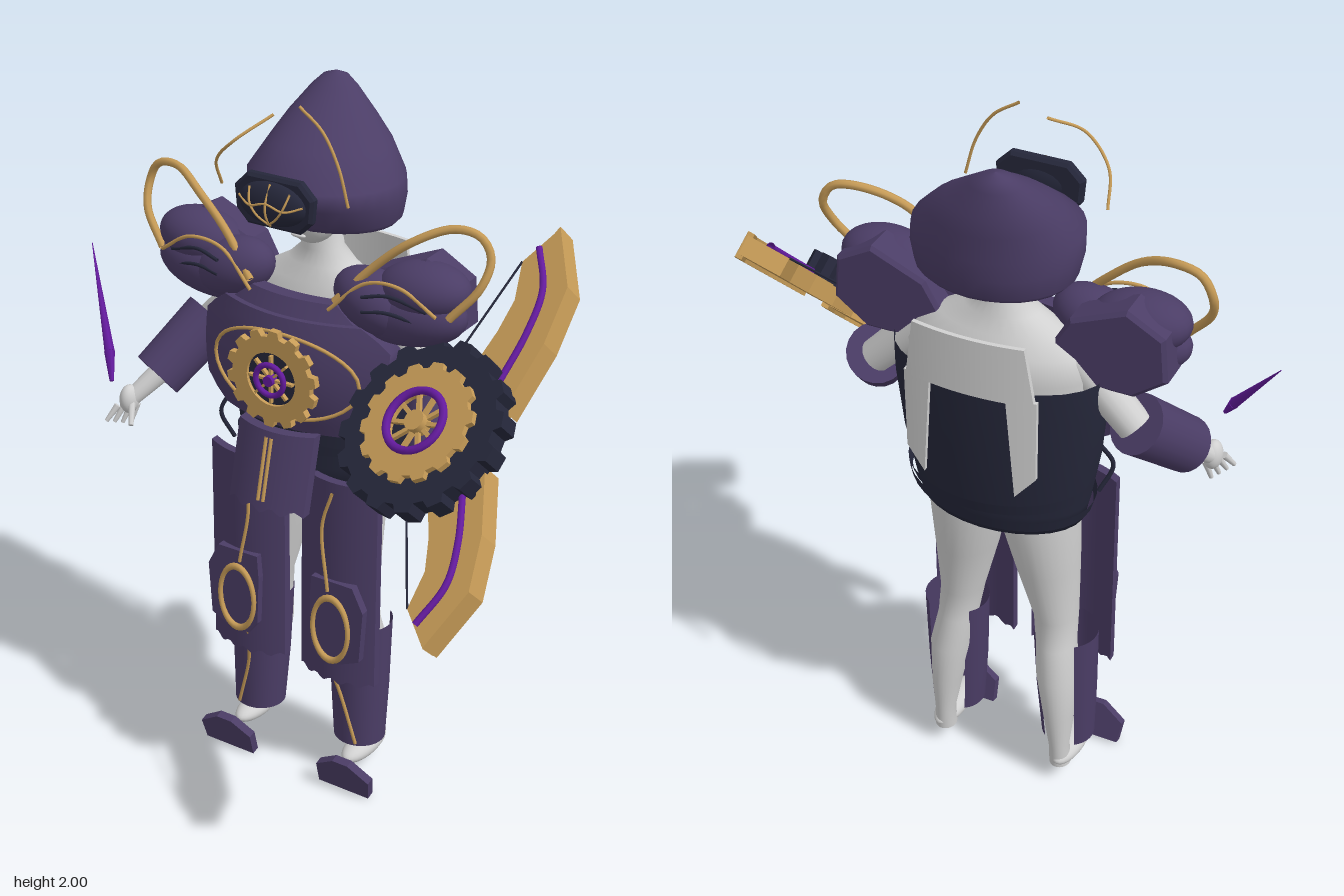
import * as THREE from 'three';

const mat = (name, color) => {
  const m = new THREE.MeshStandardMaterial({ color, side: THREE.DoubleSide });
  m.name = name;
  return m;
};
const V = (p) => new THREE.Vector3(...p);

export function createModel() {
  const purple = mat('plum armour', 0x4b3d66);
  const navy = mat('dark navy', 0x25273a);
  const gold = mat('gold', 0xc69b57);
  const violet = mat('bright violet', 0x641b9e);
  const skin = mat('pale grey', 0xd0d0d0);

  const model = new THREE.Group();
  const body = new THREE.Group();
  body.name = 'figure';
  body.position.x = -0.045;
  model.add(body);

  const add = (name, geo, m, parent = body) => {
    const mesh = new THREE.Mesh(geo, m);
    mesh.name = name;
    parent.add(mesh);
    return mesh;
  };

  // surface through elliptical rings [x, y, z, rx, rz], lowest ring first
  const loft = (rings, a0 = 0, a1 = Math.PI * 2, n = 28) => {
    const closed = a1 - a0 > 6.28, cols = closed ? n : n + 1, pos = [], idx = [];
    for (const [x, y, z, rx, rz] of rings)
      for (let i = 0; i < cols; i++) {
        const a = a0 + ((a1 - a0) * i) / n;
        pos.push(x + rx * Math.sin(a), y, z + rz * Math.cos(a));
      }
    for (let j = 0; j < rings.length - 1; j++)
      for (let i = 0; i < n; i++) {
        const k = (i + 1) % cols, a = j * cols + i, b = j * cols + k;
        idx.push(a, b, b + cols, a, b + cols, a + cols);
      }
    const g = new THREE.BufferGeometry();
    g.setAttribute('position', new THREE.Float32BufferAttribute(pos, 3));
    g.setIndex(idx);
    g.computeVertexNormals();
    return g;
  };
  // straight tapered limb between two points
  const limb = (a, b, r1, r2, seg = 16) => {
    const p = V(a), q = V(b), d = q.clone().sub(p);
    const g = new THREE.CylinderGeometry(r2, r1, d.length(), seg);
    g.applyQuaternion(new THREE.Quaternion().setFromUnitVectors(new THREE.Vector3(0, 1, 0), d.clone().normalize()));
    return g.translate(...p.add(q).multiplyScalar(0.5).toArray());
  };
  const tube = (pts, r, closed = false) =>
    new THREE.TubeGeometry(new THREE.CatmullRomCurve3(pts.map(V), closed), 40, r, 8, closed);
  const plate = (pts, depth, bevel = 0) =>
    new THREE.ExtrudeGeometry(new THREE.Shape(pts.map((p) => new THREE.Vector2(...p))), {
      depth, bevelEnabled: bevel > 0, bevelSize: bevel, bevelThickness: bevel, bevelSegments: 1 });
  const ball = (rx, ry, rz, x, y, z, tilt = 0) =>
    new THREE.SphereGeometry(1, 28, 18).scale(rx, ry, rz).rotateZ(tilt).translate(x, y, z);
  // thin panel whose vertices are moved by rule(u, v) => [x, y, z], u and v from -1 to 1
  const panel = (depth, rule, nx = 20, ny = 10) => {
    const g = new THREE.BoxGeometry(2, 2, depth, nx, ny, 1), p = g.attributes.position;
    for (let i = 0; i < p.count; i++) {
      const [x, y, z] = rule(p.getX(i), p.getY(i));
      p.setXYZ(i, x, y, z + p.getZ(i));
    }
    g.computeVertexNormals();
    return g;
  };
  const gear = (r, tooth, teeth, hole, depth) => {
    const pts = [];
    for (let i = 0; i < teeth; i++)
      for (const [f, q] of [[0.04, r - tooth], [0.16, r], [0.58, r], [0.7, r - tooth]]) {
        const a = ((i + f) / teeth) * Math.PI * 2;
        pts.push(new THREE.Vector2(q * Math.cos(a), q * Math.sin(a)));
      }
    const s = new THREE.Shape(pts);
    s.holes.push(new THREE.Path().absarc(0, 0, hole, 0, Math.PI * 2, true));
    return new THREE.ExtrudeGeometry(s, { depth, bevelEnabled: false, curveSegments: 24 }).translate(0, 0, -depth / 2);
  };
  const spokes = (n, r0, r1, w, m, parent, z) => {
    for (let i = 0; i < n; i++)
      add('spoke', new THREE.BoxGeometry(r1 - r0, w, 0.012).translate((r0 + r1) / 2, 0, z)
        .rotateZ((i / n) * Math.PI * 2), m, parent);
  };

  // hood with a backswept peak
  add('hood', loft([[0, 1.66, -0.23, 0.001, 0.001], [0, 1.66, -0.23, 0.19, 0.15], [0, 1.675, -0.228, 0.204, 0.165],
    [0, 1.73, -0.22, 0.214, 0.188], [0, 1.78, -0.215, 0.211, 0.195], [-0.018, 1.85, -0.265, 0.163, 0.15],
    [-0.037, 1.9, -0.3, 0.12, 0.112], [-0.055, 1.96, -0.34, 0.064, 0.057], [-0.06, 1.985, -0.352, 0.035, 0.032],
    [-0.06, 1.996, -0.355, 0.001, 0.001]]), purple);
  [[[-0.2, 1.76, -0.03], [-0.18, 1.84, 0.02], [-0.11, 1.91, 0.045], [-0.04, 1.97, -0.03]],
    [[0.03, 2.0, -0.04], [0.1, 1.95, -0.035], [0.15, 1.87, -0.03], [0.18, 1.77, -0.03]]]
    .forEach((p) => add('hoodWire', tube(p, 0.004), gold));

  // head, neck and upper torso
  add('face', ball(0.08, 0.12, 0.1, 0, 1.72, -0.16), skin);
  add('lips', ball(0.022, 0.006, 0.008, 0, 1.642, -0.082), skin);
  add('neckAndShoulders', loft([[0, 1.2, -0.2, 0.23, 0.12], [0, 1.4, -0.21, 0.25, 0.125], [0, 1.46, -0.205, 0.23, 0.105],
    [0, 1.5, -0.2, 0.17, 0.085], [0, 1.54, -0.2, 0.1, 0.068], [0, 1.58, -0.2, 0.058, 0.056], [0, 1.68, -0.19, 0.046, 0.05]]), skin);

  // visor, a shallow dome on an eight-sided plate
  const visor = [[-0.105, 1.735], [-0.075, 1.705], [0.075, 1.705], [0.105, 1.735], [0.11, 1.79], [0.075, 1.825], [-0.075, 1.825], [-0.11, 1.79]];
  add('visor', plate(visor, 0.015, 0.008).translate(0, 0, 0.014), navy);
  add('visorDome', ball(0.1, 0.058, 0.035, 0, 1.765, 0.033), navy);
  const domeZ = (x, y) => 0.036 + 0.035 * Math.sqrt(Math.max(0, 1 - (x / 0.1) ** 2 - ((y - 1.765) / 0.058) ** 2));
  [[[0, 1.71], [0, 1.74], [0, 1.77], [0, 1.82]], [[-0.06, 1.805], [-0.05, 1.77], [-0.03, 1.74], [0, 1.715]],
    [[0.06, 1.805], [0.05, 1.77], [0.03, 1.74], [0, 1.715]], [[-0.095, 1.775], [-0.05, 1.762], [0, 1.775], [0.05, 1.762], [0.095, 1.775]]]
    .forEach((p) => add('visorLine', tube(p.map(([x, y]) => [x, y, domeZ(x, y)]), 0.003), gold));

  // corset, belts and side straps
  add('corset', loft([[0, 0.94, -0.195, 0.001, 0.001], [0, 0.94, -0.195, 0.225, 0.145], [0, 1.0, -0.2, 0.24, 0.15],
    [0, 1.15, -0.205, 0.268, 0.162], [0, 1.32, -0.21, 0.285, 0.168], [0, 1.41, -0.215, 0.283, 0.165]]), navy);
  [[1.01, 0.06], [1.05, -0.05]].forEach(([y, t]) =>
    add('belt', new THREE.CylinderGeometry(0.256, 0.248, 0.035, 36, 1, true).scale(1, 1, 0.68)
      .rotateZ(t).rotateX(-0.08).translate(0, y, -0.205), navy));
  for (const s of [-1, 1])
    add('sideStrap', tube([[s * 0.235, 1.13, -0.12], [s * 0.265, 1.06, -0.1], [s * 0.235, 0.98, -0.12]], 0.006), navy);

  // back drape with two hanging tails
  const drapeZ = (x) => -0.4 + 0.7 * x * x;
  add('backDrape', panel(0.012, (u, v) => {
    const x = u * (0.16 - 0.012 * v);
    return [x, 1.48 + 0.08 * v, drapeZ(x)];
  }), skin);
  for (const s of [-1, 1])
    add('drapeTail', panel(0.012, (u, v) => {
      const x = s * (0.145 + u * (0.032 + 0.006 * v) - 0.005 * v);
      return [x, 1.28 + 0.13 * v + 0.015 * u * (1 - v), drapeZ(x)];
    }, 4, 6), skin);

  // breastplate
  const chestZ = (x, y) => 0.03 - 1.15 * x * x - 1.2 * (y - 1.285) ** 2;
  add('breastplate', panel(0.05, (u, v) => {
    const x = 0.285 * u * (1 - 0.75 * Math.max(0, Math.abs(v) - 0.65)), y = 1.285 + 0.158 * v;
    return [x, y, chestZ(x, y) - 0.025];
  }), purple);
  add('collarPlate', panel(0.04, (u, v) => {
    const x = u * (0.175 - 0.045 * v);
    return [x, 1.45 + 0.035 * v, -0.04 - 1.2 * x * x - 0.02 * v];
  }), purple);
  const oval = [];
  for (let i = 0; i < 24; i++) {
    const a = (i / 24) * Math.PI * 2, x = 0.225 * Math.cos(a), y = 1.285 + 0.12 * Math.sin(a);
    oval.push([x, y, chestZ(x, y) + 0.004]);
  }
  add('breastplateTrim', tube(oval, 0.005, true), gold);
  const emblem = new THREE.Group();
  emblem.name = 'chestGear';
  emblem.position.set(0, 1.285, 0.04);
  body.add(emblem);
  add('gearPlate', gear(0.138, 0.018, 14, 0.075, 0.02), gold, emblem);
  add('gearWell', new THREE.CircleGeometry(0.078, 24), navy, emblem);
  add('violetRing', new THREE.TorusGeometry(0.043, 0.008, 8, 28).translate(0, 0, 0.015), violet, emblem);
  spokes(8, 0.01, 0.068, 0.007, gold, emblem, 0.008);
  add('gearHub', new THREE.CylinderGeometry(0.015, 0.015, 0.03, 12).rotateX(Math.PI / 2).translate(0, 0, 0.01), violet, emblem);

  // hanging front panel
  const flapZ = (y) => 0.04 + (1.13 - y) * 0.25;
  add('frontPanel', panel(0.03, (u, v) => {
    const y = 1.03 + 0.105 * v - (v < -0.9 ? 0.008 * Math.cos(u * 12) : 0);
    return [0.118 * u, y, flapZ(y) - 0.032 * u * u];
  }), purple);
  [-0.008, 0.008].forEach((x) => add('panelStripe', tube([[x, 1.12, flapZ(1.12) + 0.018], [x, 0.95, flapZ(0.95) + 0.018]], 0.005), gold));

  for (const s of [-1, 1]) {
    // leg and foot
    add('leg', loft([[0.18, 0.06, -0.215, 0.03, 0.034], [0.178, 0.13, -0.22, 0.028, 0.034], [0.172, 0.25, -0.212, 0.043, 0.052],
      [0.162, 0.38, -0.2, 0.058, 0.066], [0.148, 0.48, -0.18, 0.055, 0.064], [0.14, 0.57, -0.165, 0.06, 0.07],
      [0.118, 0.75, -0.175, 0.086, 0.096], [0.1, 0.92, -0.19, 0.108, 0.113], [0.09, 1.02, -0.19, 0.11, 0.11]]
      .map(([x, ...r]) => [s * x, ...r])), skin);
    add('foot', ball(0.042, 0.032, 0.105, s * 0.185, 0.083, -0.15), skin);
    add('toeCap', plate([[0.115, 0.01], [0.28, 0.01], [0.288, 0.075], [0.225, 0.12], [0.175, 0.12], [0.115, 0.08]]
      .map(([x, y]) => [s * x, y]), 0.025).rotateX(0.25).translate(0, 0, -0.045), purple);

    // shin guard, open at the back
    add('shinGuard', loft([[s * 0.172, 0.12, -0.145, 0.075, 0.072], [s * 0.168, 0.3, -0.15, 0.085, 0.08],
      [s * 0.165, 0.51, -0.155, 0.09, 0.086]], -2.5, 2.5), purple);
    add('shinLine', tube([[s * 0.13, 0.44, -0.02], [s * 0.155, 0.3, -0.06], [s * 0.2, 0.13, -0.075]], 0.005), gold);

    // thigh panel with a softly scalloped hem
    add('thighPanel', panel(0.025, (u, v) => {
      const x = 0.148 + 0.12 * u;
      return [s * x, 0.675 + 0.315 * v + (v < -0.95 ? 0.007 * Math.cos(u * 14) : 0), -0.035 - 0.035 * u * u];
    }), purple);
    add('thighLine', tube([[s * 0.15, 0.96, -0.015], [s * 0.12, 0.85, -0.015], [s * 0.145, 0.66, -0.005]], 0.005), gold);

    // knee plate and ring
    add('kneePlate', plate([[0.09, 0.47], [0.12, 0.43], [0.18, 0.43], [0.245, 0.46], [0.255, 0.62], [0.22, 0.69], [0.09, 0.69], [0.085, 0.62]]
      .map(([x, y]) => [s * x, y]), 0.025).translate(0, 0, -0.035), purple);
    add('kneeRing', new THREE.TorusGeometry(0.1, 0.011, 8, 32).scale(0.57, 1, 0.8).translate(s * 0.155, 0.54, -0.005), gold);

    // pauldron of overlapping shells
    add('pauldronBack', plate([[0.12, 1.42], [0.2, 1.4], [0.36, 1.4], [0.44, 1.46], [0.43, 1.57], [0.34, 1.62], [0.2, 1.56]]
      .map(([x, y]) => [s * x, y]), 0.08, 0.01).translate(0, 0, -0.23), purple);
    [[0.17, 0.085, 0.085, 0.3, 1.48, -0.13, 0.1], [0.13, 0.075, 0.09, 0.34, 1.55, -0.14, 0.1], [0.125, 0.08, 0.08, 0.22, 1.5, -0.11, -0.35]]
      .forEach(([a, b, c, x, y, z, t]) => add('pauldronShell', ball(a, b, c, s * x, y, z, s * t), purple));
    [[1.49, 0.03], [1.53, 0.04]].forEach(([y, h]) =>
      add('pauldronSlit', tube([[s * 0.22, y + 0.01, -0.032], [s * 0.29, y + h * 0.6, -0.042], [s * 0.39, y - 0.005, -0.064]], 0.005), navy));
    add('pauldronLine', tube([[s * 0.42, 1.52, -0.06], [s * 0.32, 1.58, -0.05], [s * 0.22, 1.57, -0.05], [s * 0.12, 1.48, -0.035]], 0.005), gold);
    add('shoulderLoop', tube([[0.13, 1.5, -0.05], [0.22, 1.6, -0.08], [0.32, 1.685, -0.1], [0.42, 1.73, -0.14], [0.49, 1.72, -0.15],
      [0.52, 1.67, -0.15], [0.51, 1.6, -0.12], [0.44, 1.51, -0.09]].map(([x, y, z]) => [s * x, y, z]), 0.011), gold);

    // arm, gauntlet and hand
    const P = (x, y, z) => [s * x, y, z];
    add('upperArm', limb(P(0.2, 1.44, -0.195), P(0.36, 1.28, -0.2), 0.052, 0.045), skin);
    add('gauntlet', limb(P(0.36, 1.285, -0.195), P(0.44, 1.145, -0.045), 0.08, 0.074, 20), purple);
    add('wrist', limb(P(0.43, 1.16, -0.06), P(0.485, 1.09, 0.01), 0.032, 0.025), skin);
    add('palm', ball(0.026, 0.042, 0.032, s * 0.49, 1.085, 0.02), skin);
    for (let i = 0; i < 4; i++)
      add('finger', limb(P(0.475 + 0.012 * i, 1.07, 0.005 + 0.014 * i), P(0.49 + 0.014 * i, 1.01 + 0.006 * i, 0.02 + 0.018 * i), 0.01, 0.006, 8), skin);
    add('thumb', limb(P(0.475, 1.08, 0.03), P(0.45, 1.035, 0.07), 0.011, 0.007, 8), skin);
  }

  // spike in the right hand
  add('spikeGrip', limb([-0.535, 1.17, 0.095], [-0.57, 1.235, 0.055], 0.006, 0.015, 6), violet, model);
  add('spike', limb([-0.57, 1.235, 0.055], [-0.725, 1.47, -0.085], 0.014, 0.001, 6), violet, model);

  // geared bow on the left side
  const bow = new THREE.Group();
  bow.name = 'gearBow';
  const up = V([-0.09, 0.68, -0.73]).normalize();
  const right = up.clone().cross(V([-0.2, 0.68, 0.7])).normalize();
  bow.quaternion.setFromRotationMatrix(new THREE.Matrix4().makeBasis(right, up, right.clone().cross(up)));
  bow.position.set(0.415, 1.267, 0.045);
  model.add(bow);
  add('wheelTyre', gear(0.238, 0.022, 16, 0.14, 0.065), navy, bow);
  add('wheelRim', gear(0.163, 0.016, 14, 0.085, 0.03).translate(0, 0, 0.035), gold, bow);
  add('wheelRing', new THREE.TorusGeometry(0.082, 0.011, 8, 32).translate(0, 0, 0.055), violet, bow);
  spokes(10, 0.02, 0.095, 0.011, gold, bow, 0.035);
  add('wheelHub', new THREE.CylinderGeometry(0.028, 0.028, 0.04, 16).rotateX(Math.PI / 2).translate(0, 0, 0.04), gold, bow);
  for (const [s, k] of [[-1, 0.91], [1, 0.985]]) {
    const m = (pts) => pts.map(([x, y, ...z]) => [x - 0.012, s * k * y, ...z]);
    add('bowLimb', plate(m([[0.05, 0.09], [0.07, 0.2], [0.105, 0.3], [0.125, 0.39], [0.11, 0.5], [0.19, 0.6], [0.265, 0.43],
      [0.25, 0.28], [0.215, 0.15], [0.18, 0.06]]), 0.05).translate(0, 0, -0.08), gold, bow);
    add('limbEdge', plate(m([[0.19, 0.1], [0.232, 0.28], [0.245, 0.42], [0.185, 0.58], [0.195, 0.6], [0.272, 0.43],
      [0.257, 0.27], [0.205, 0.08]]), 0.07).translate(0, 0, -0.09), gold, bow);
    add('limbLine', tube(m([[0.16, 0.15, -0.025], [0.195, 0.3, -0.025], [0.2, 0.42, -0.025], [0.15, 0.54, -0.025]]), 0.009), violet, bow);
    add('bowString', tube(m([[0.11, 0.5, -0.03], [0.01, 0.2, -0.02]]), 0.003), navy, bow);
  }
  return model;
}
